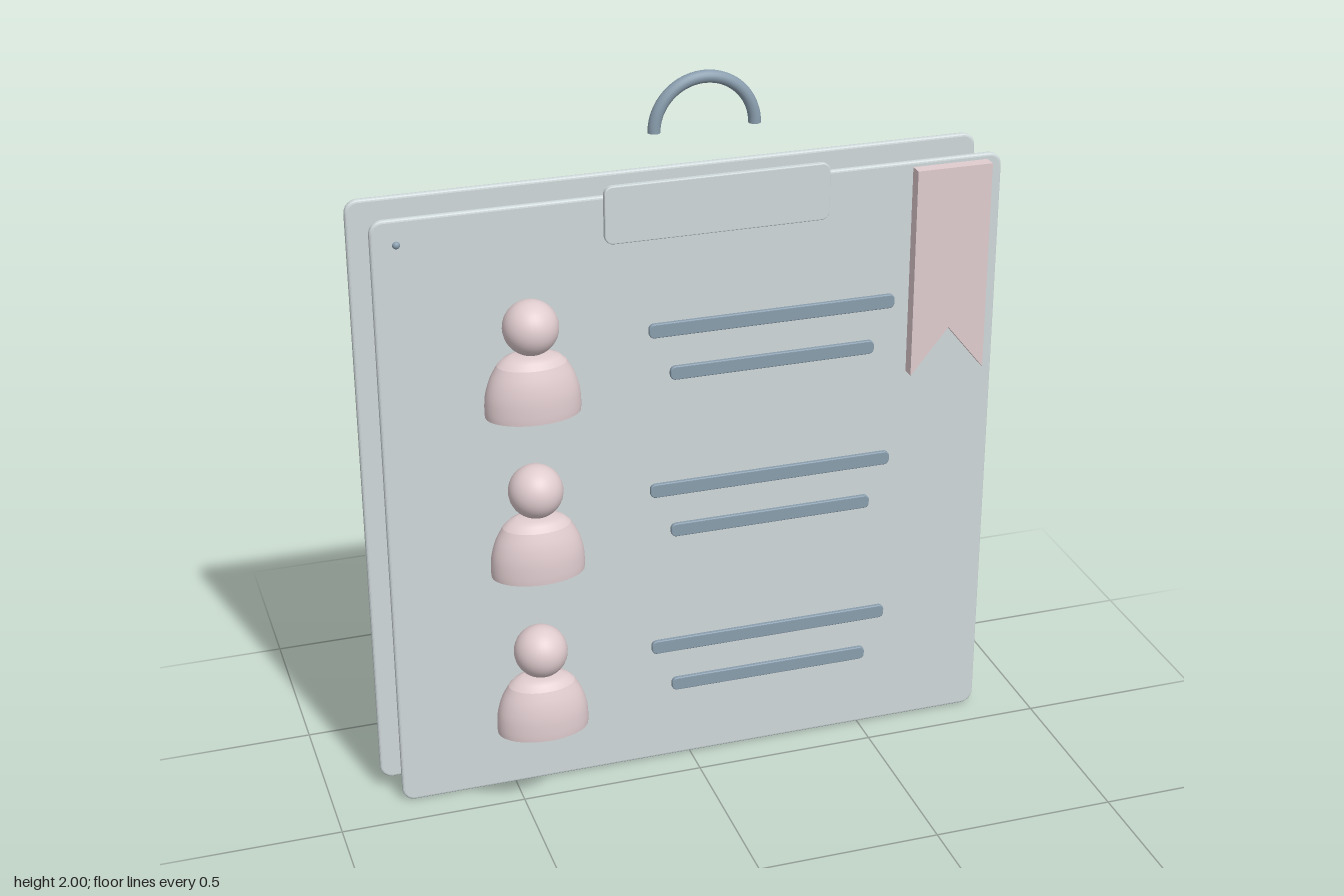
import * as THREE from 'three';

const paper = new THREE.MeshStandardMaterial({ color: 0xcfd8da });
const steel = new THREE.MeshStandardMaterial({ color: 0x8a9eae });
const pink = new THREE.MeshStandardMaterial({ color: 0xe0cccf, side: THREE.DoubleSide });

function add(parent, name, geometry, material, x = 0, y = 0, z = 0) {
  const mesh = new THREE.Mesh(geometry, material);
  mesh.name = name;
  mesh.position.set(x, y, z);
  parent.add(mesh);
  return mesh;
}

// Rounded plate spanning x0..x1, y0..y1, z0..z1 with a small bevelled rim
function plate(x0, x1, y0, y1, z0, z1, radius, bevel) {
  const l = x0 + bevel, r = x1 - bevel, b = y0 + bevel, t = y1 - bevel, c = radius - bevel;
  const s = new THREE.Shape();
  s.moveTo(l + c, b);
  s.lineTo(r - c, b);
  s.absarc(r - c, b + c, c, -Math.PI / 2, 0);
  s.absarc(r - c, t - c, c, 0, Math.PI / 2);
  s.absarc(l + c, t - c, c, Math.PI / 2, Math.PI);
  s.absarc(l + c, b + c, c, Math.PI, Math.PI * 1.5);
  const geometry = new THREE.ExtrudeGeometry(s, {
    depth: z1 - z0 - 2 * bevel, bevelThickness: bevel, bevelSize: bevel, bevelSegments: 3, curveSegments: 8,
  });
  return geometry.translate(0, 0, z0 + bevel);
}

// Bust: oval lathed shoulders under a round head
function bust() {
  const group = new THREE.Group();
  const side = new THREE.SplineCurve([
    [0.121, 0], [0.122, 0.02], [0.119, 0.06], [0.107, 0.1], [0.088, 0.135],
  ].map(([x, y]) => new THREE.Vector2(x, y))).getPoints(12);
  const top = [[0.088, 0.135], [0.072, 0.15], [0.05, 0.158], [0, 0.16]].map(([x, y]) => new THREE.Vector2(x, y));
  const base = [new THREE.Vector2(0, 0), new THREE.Vector2(0.121, 0)];
  [['torso', side], ['shoulderTop', top], ['torsoBase', base]].forEach(([name, points]) => {
    const geometry = new THREE.LatheGeometry(points, 40);
    geometry.scale(1, 1, 0.64);
    add(group, name, geometry, pink);
  });
  add(group, 'head', new THREE.SphereGeometry(0.07, 32, 20), pink, 0, 0.229, 0);
  return group;
}

export function createModel() {
  const model = new THREE.Group();
  model.name = 'clipboard';

  // Two offset boards
  add(model, 'backBoard', plate(-0.86, 0.81, 0.042, 1.711, -0.18, -0.161, 0.035, 0.007), paper);
  add(model, 'frontBoard', plate(-0.815, 0.856, 0.004, 1.677, -0.109, -0.09, 0.035, 0.007), paper);

  // Pins in the upper corners
  for (const x of [-0.75, 0.79]) {
    add(model, 'pin', new THREE.SphereGeometry(0.01, 16, 12), steel, x, 1.611, -0.091);
  }

  // Clip plate and hanging loop
  add(model, 'clip', plate(-0.271, 0.311, 1.619, 1.768, 0.073, 0.089, 0.022, 0.003), paper);
  const loop = new THREE.Group();
  loop.name = 'hangingLoop';
  loop.position.set(0.018, 1.855, -0.02);
  add(loop, 'loopArc', new THREE.TorusGeometry(0.13, 0.016, 16, 40, Math.PI), steel);
  for (const x of [-0.13, 0.13]) {
    add(loop, 'loopEnd', new THREE.CircleGeometry(0.016, 16).rotateX(Math.PI / 2), steel, x, 0, 0);
  }
  model.add(loop);

  // Ribbon with a notched tail
  const ribbon = new THREE.Shape([[0.52, 1.187], [0.62, 1.31], [0.72, 1.187], [0.72, 1.742], [0.52, 1.742]]
    .map(([x, y]) => new THREE.Vector2(x, y)));
  add(model, 'ribbon', new THREE.ExtrudeGeometry(ribbon, { depth: 0.034, bevelEnabled: false }), pink, 0, 0, 0.115);

  // Three entries: a bust beside a long and a short bar
  for (const y of [1.206, 0.759, 0.294]) {
    const row = new THREE.Group();
    row.name = 'entry';
    row.position.y = y;
    const figure = bust();
    figure.name = 'bust';
    figure.position.set(-0.467, 0, 0.102);
    row.add(figure);
    add(row, 'longBar', plate(-0.157, 0.5, 0.144, 0.182, 0.064, 0.076, 0.014, 0.003), steel);
    add(row, 'shortBar', plate(-0.102, 0.447, 0.023, 0.06, 0.064, 0.076, 0.014, 0.003), steel);
    model.add(row);
  }
  return model;
}
